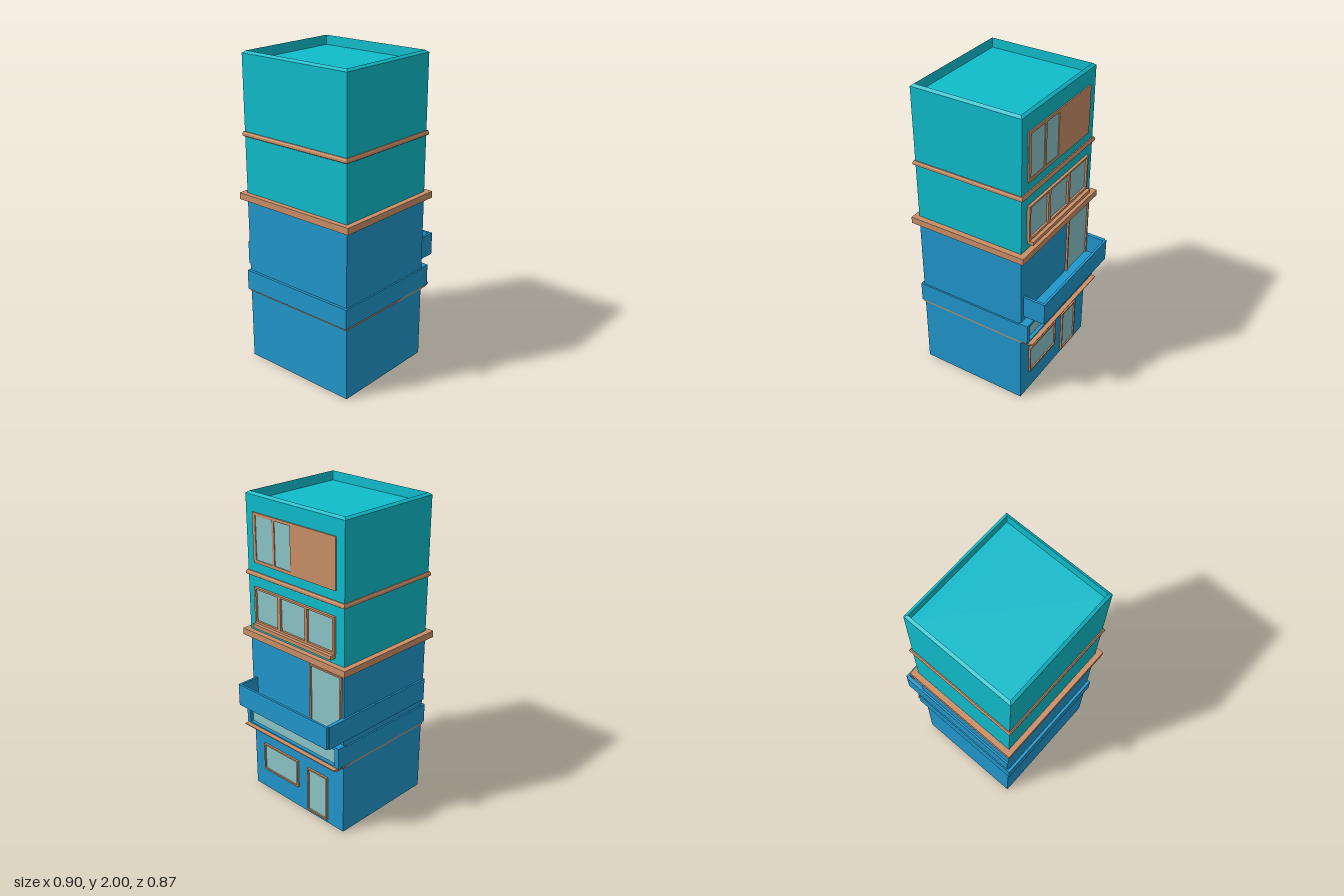
import * as THREE from 'three';

const paint = (name, color) => {
  const m = new THREE.MeshStandardMaterial({ color });
  m.name = name;
  return m;
};

export function createModel() {
  const teal = paint('teal', 0x0fbccb), blue = paint('blue', 0x2196cb);
  const copper = paint('copper', 0xc98e66), glass = paint('glass', 0x8cc4c8);
  const model = new THREE.Group();
  const WALL = 0.305; // plane of the wall that carries the windows

  const add = (name, geometry, material, parent = model) => {
    const mesh = new THREE.Mesh(geometry, material);
    mesh.name = name;
    parent.add(mesh);
    return mesh;
  };

  // Box given by its limits
  const box = (name, material, x0, x1, y0, y1, z0, z1, parent) =>
    add(name, new THREE.BoxGeometry(x1 - x0, y1 - y0, z1 - z0)
      .translate((x0 + x1) / 2, (y0 + y1) / 2, (z0 + z1) / 2), material, parent);

  // Rectangular rings [inset, y] joined from the bottom up, capped at both ends
  const loft = (name, material, [x0, x1, z0, z1], rings) => {
    const loops = rings.map(([d, y]) => [
      [x0 + d, y, z1 - d], [x1 - d, y, z1 - d], [x1 - d, y, z0 + d], [x0 + d, y, z0 + d]]);
    const pos = [];
    const quad = (a, b, c, d) => pos.push(...a, ...b, ...c, ...a, ...c, ...d);
    for (let k = 0; k + 1 < loops.length; k++) {
      for (let i = 0; i < 4; i++) {
        const j = (i + 1) % 4;
        quad(loops[k][i], loops[k][j], loops[k + 1][j], loops[k + 1][i]);
      }
    }
    quad(...[...loops[0]].reverse());
    quad(...loops[loops.length - 1]);
    const g = new THREE.BufferGeometry();
    g.setAttribute('position', new THREE.Float32BufferAttribute(pos, 3));
    g.computeVertexNormals();
    return add(name, g, material);
  };

  // Frame on the window wall; each rectangle is [z0, z1, y0, y1]
  const trace = (path, [z0, z1, y0, y1]) => path.moveTo(-z1, y0).lineTo(-z0, y0)
    .lineTo(-z0, y1).lineTo(-z1, y1).closePath();
  const windowSet = (name, material, outer, panes, x1, glassX) => {
    const group = new THREE.Group();
    group.name = name;
    model.add(group);
    const shape = trace(new THREE.Shape(), outer);
    panes.forEach(p => shape.holes.push(trace(new THREE.Path(), p)));
    const g = new THREE.ExtrudeGeometry(shape, { depth: x1 - WALL + 0.01, bevelEnabled: false });
    add('frame', g.rotateY(Math.PI / 2).translate(WALL - 0.01, 0, 0), material, group);
    panes.forEach(([z0, z1, y0, y1]) =>
      box('pane', glass, glassX - 0.005, glassX, y0, y1, z0, z1, group));
  };

  // Main storeys, with a recessed roof behind a sloping parapet
  box('lowerStoreys', blue, -0.42, WALL, 0, 1.1, -0.4, 0.4);
  loft('upperStoreys', teal, [-0.42, WALL, -0.4, 0.4],
    [[0, 1.1], [0, 1.987], [0.018, 2], [0.02, 1.94]]);

  // Horizontal mouldings
  box('cornice', copper, -0.452, 0.34, 1.09, 1.132, -0.436, 0.436);
  loft('upperTrim', copper, [-0.432, 0.318, -0.412, 0.412],
    [[0.01, 1.488], [0, 1.494], [0, 1.508], [0.006, 1.519], [0.012, 1.519]]);

  // Band above the ground floor, with its copper underline
  box('band', blue, -0.438, 0.322, 0.483, 0.612, -0.41, 0.41);
  box('bandUnderline', copper, -0.426, 0.32, 0.468, 0.484, -0.405, 0.405);
  windowSet('bandWindow', blue, [-0.41, 0.41, 0.483, 0.622],
    [[-0.378, 0.382, 0.492, 0.603]], 0.358, 0.335);

  // Sloping ledge below the band window
  const ledge = new THREE.Shape([[0.3, 0.465], [0.355, 0.465], [0.388, 0.478], [0.388, 0.484], [0.3, 0.484]]
    .map(p => new THREE.Vector2(...p)));
  add('bandLedge', new THREE.ExtrudeGeometry(ledge, { depth: 0.8, bevelEnabled: false })
    .translate(0, 0, -0.4), copper);

  // Hollow balcony and the strip that continues it along the back
  loft('balcony', blue, [0.29, 0.45, -0.402, 0.372],
    [[0, 0.655], [0, 0.802], [0.015, 0.802], [0.015, 0.675]]);
  box('backStrip', blue, -0.42, 0.435, 0.655, 0.802, -0.412, -0.395);

  // Top floor window with a solid panel
  windowSet('topWindow', copper, [-0.337, 0.34, 1.578, 1.887],
    [[0.172, 0.316, 1.598, 1.869], [0.022, 0.154, 1.598, 1.869]], 0.313, 0.308);

  // Triple window with a sill
  windowSet('tripleWindow', copper, [-0.335, 0.34, 1.19, 1.425],
    [[0.134, 0.325, 1.207, 1.413], [-0.095, 0.108, 1.207, 1.413], [-0.32, -0.118, 1.207, 1.413]],
    0.322, 0.309);
  box('windowSill', copper, 0.3, 0.345, 1.168, 1.192, -0.332, 0.335);

  // Balcony door, ground floor window and entrance door
  windowSet('balconyDoor', copper, [-0.386, -0.127, 0.66, 1.07],
    [[-0.374, -0.139, 0.672, 1.06]], 0.318, 0.309);
  windowSet('groundWindow', copper, [-0.01, 0.306, 0.147, 0.342],
    [[0, 0.296, 0.157, 0.332]], 0.318, 0.309);
  windowSet('entranceDoor', copper, [-0.27, -0.098, 0.022, 0.335],
    [[-0.26, -0.108, 0.032, 0.325]], 0.318, 0.309);

  return model;
}
